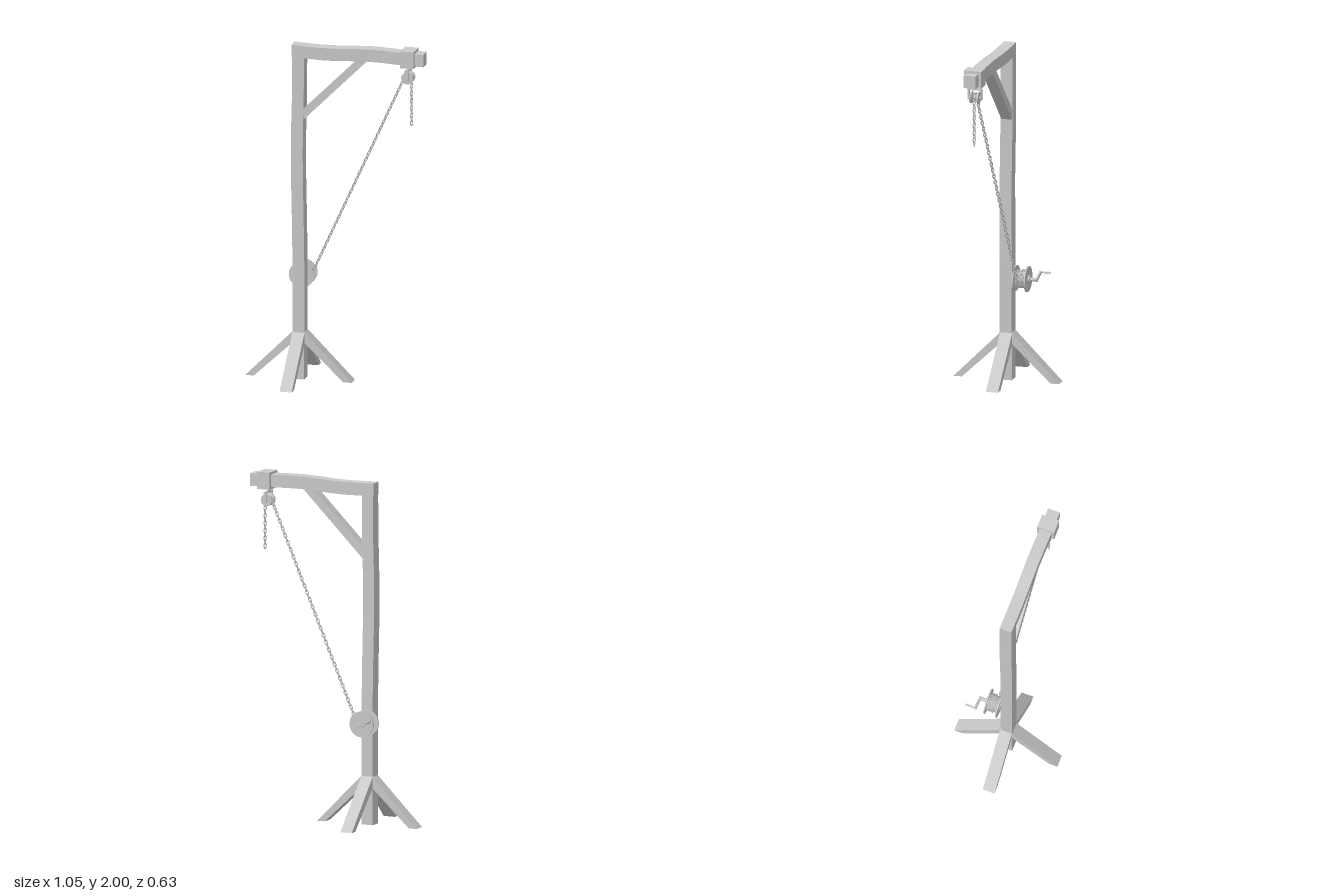
import * as THREE from 'three';
import { mergeGeometries } from 'three/addons/utils/BufferGeometryUtils.js';

const flat = new THREE.MeshStandardMaterial({ color: 0xcccccc, flatShading: true });
const smooth = new THREE.MeshStandardMaterial({ color: 0xcccccc });
const V = (x, y, z) => new THREE.Vector3(x, y, z);
const POST_X = -0.215;

function add(parent, name, geometry, material = flat, x = 0, y = 0, z = 0) {
  const mesh = new THREE.Mesh(geometry, material);
  mesh.name = name;
  mesh.position.set(x, y, z);
  parent.add(mesh);
  return mesh;
}

// Slightly crooked squared timber: a segmented box bent along a curve
function timber(points, u, v, width, depth) {
  const curve = new THREE.CatmullRomCurve3(points);
  const geo = new THREE.BoxGeometry(width, 1, depth, 1, 10, 1);
  const pos = geo.attributes.position;
  for (let i = 0; i < pos.count; i++) {
    const p = curve.getPoint(THREE.MathUtils.clamp(pos.getY(i) + 0.5, 0, 1));
    p.addScaledVector(u, pos.getX(i)).addScaledVector(v, pos.getZ(i));
    pos.setXYZ(i, p.x, p.y, p.z);
  }
  geo.computeVertexNormals();
  return geo;
}

// Plank with a side outline, centred on its thickness
function plank(outline, depth) {
  const shape = new THREE.Shape(outline.map(([x, y]) => new THREE.Vector2(x, y)));
  return new THREE.ExtrudeGeometry(shape, { depth, bevelEnabled: false }).translate(0, 0, -depth / 2);
}

// Disc or drum lying along z
const drum = (r, len, sides = 24) => new THREE.CylinderGeometry(r, r, len, sides).rotateX(Math.PI / 2);

// Interlocking oval links along a list of points
function chain(points, pitch) {
  const path = new THREE.CurvePath();
  for (let i = 1; i < points.length; i++) path.add(new THREE.LineCurve3(points[i - 1], points[i]));
  const link = new THREE.TorusGeometry(0.0072, 0.0025, 5, 12).scale(2.1, 1.1, 1.1);
  const count = Math.round(path.getLength() / pitch);
  const xAxis = V(1, 0, 0), links = [];
  for (let i = 0; i <= count; i++) {
    const t = i / count;
    const q = new THREE.Quaternion().setFromUnitVectors(xAxis, path.getTangentAt(t));
    const twist = new THREE.Quaternion().setFromAxisAngle(xAxis, Math.PI / 4 + (i % 2) * Math.PI / 2);
    links.push(link.clone().applyQuaternion(q.multiply(twist)).translate(...path.getPointAt(t).toArray()));
  }
  return mergeGeometries(links);
}

export function createModel() {
  const model = new THREE.Group();
  model.name = 'hoist';

  // Wooden frame
  add(model, 'post', timber([
    V(-0.216, 0, 0.003), V(-0.215, 0.4, 0.003), V(-0.216, 0.8, 0.003), V(-0.223, 1.2, 0.006),
    V(-0.224, 1.45, 0.002), V(-0.219, 1.7, 0), V(-0.218, 1.95, 0),
  ], V(1, 0, 0), V(0, 0, 1), 0.07, 0.072));
  add(model, 'beam', timber([
    V(-0.256, 1.948, 0), V(-0.05, 1.943, 0.001), V(0.2, 1.955, -0.001), V(0.4, 1.95, 0.002), V(0.525, 1.948, 0.003),
  ], V(0, -1, 0), V(0, 0, 1), 0.073, 0.072));
  add(model, 'brace', plank([[-0.2, 1.53], [0.19, 1.92], [0.125, 1.92], [-0.2, 1.595]], 0.064));
  add(model, 'collar', new THREE.BoxGeometry(0.08, 0.1, 0.104), flat, 0.432, 1.95, 0.002);

  // Four splayed feet
  for (let i = 0; i < 4; i++) {
    const leg = add(model, 'leg', plank([[0.025, 0.285], [0.025, 0.225], [0.265, 0], [0.315, 0], [0.036, 0.28]], 0.072), flat, POST_X);
    leg.rotation.y = i * Math.PI / 2;
  }

  // Pulley under the collar
  const pulley = new THREE.Group();
  pulley.name = 'pulley';
  pulley.position.set(0.425, 1.833, 0);
  model.add(pulley);
  add(pulley, 'hanger', new THREE.CylinderGeometry(0.007, 0.007, 0.03, 10), smooth, 0, 0.06, 0);
  add(pulley, 'bracketTop', new THREE.BoxGeometry(0.02, 0.008, 0.084), flat, 0, 0.048, 0);
  for (const s of [-1, 1]) {
    add(pulley, 'bracketSide', new THREE.BoxGeometry(0.02, 0.062, 0.007), flat, 0, 0.018, s * 0.038);
  }
  add(pulley, 'axle', drum(0.007, 0.09, 12), flat);
  const groove = [[0, -0.026], [0.035, -0.026], [0.035, -0.018], [0.015, -0.007], [0.015, 0.007], [0.035, 0.018], [0.035, 0.026], [0, 0.026]];
  add(pulley, 'wheel', new THREE.LatheGeometry(groove.map(([r, y]) => new THREE.Vector2(r, y)), 24).rotateX(Math.PI / 2));

  // Winch on the back of the post
  const winch = new THREE.Group();
  winch.name = 'winch';
  winch.position.set(-0.22, 0.597, 0);
  model.add(winch);
  add(winch, 'spool', drum(0.036, 0.08), flat, 0, 0, -0.08);
  add(winch, 'innerFlange', drum(0.075, 0.007, 32), flat, 0, 0, -0.047);
  add(winch, 'outerFlange', drum(0.075, 0.007, 32), flat, 0, 0, -0.118);
  add(winch, 'hub', drum(0.022, 0.012), flat, 0, 0, -0.125);
  add(winch, 'shaft', drum(0.011, 0.145, 12), flat, 0, 0, -0.103);
  const arm = new THREE.Group();
  arm.name = 'crank';
  arm.position.z = -0.169;
  arm.rotation.z = Math.PI - 0.35;
  winch.add(arm);
  add(arm, 'crankArm', new THREE.BoxGeometry(0.092, 0.016, 0.013), flat, 0.037, 0, 0);
  add(arm, 'handle', drum(0.0055, 0.065, 12), flat, 0.078, 0, -0.029);

  // Chain wound on the spool, rising to the pulley and hanging down
  const points = [], turns = 6, lean = -0.44, steps = turns * 20;
  for (let i = 0; i <= steps; i++) {
    const t = i / steps, a = lean + (t - 1) * turns * Math.PI * 2;
    const r = 0.041 + 0.008 * t;
    const z = -0.083 + 0.024 * Math.cos(t * Math.PI * 1.7);
    points.push(V(-0.22 + r * Math.cos(a), 0.597 + r * Math.sin(a), z));
  }
  for (let i = 0; i <= 10; i++) {
    const a = (Math.PI + lean) * (1 - i / 10);
    points.push(V(0.425 + 0.02 * Math.cos(a), 1.833 + 0.02 * Math.sin(a), 0));
  }
  points.push(V(0.445, 1.565, 0));
  add(model, 'chain', chain(points, 0.022), smooth);

  return model;
}
